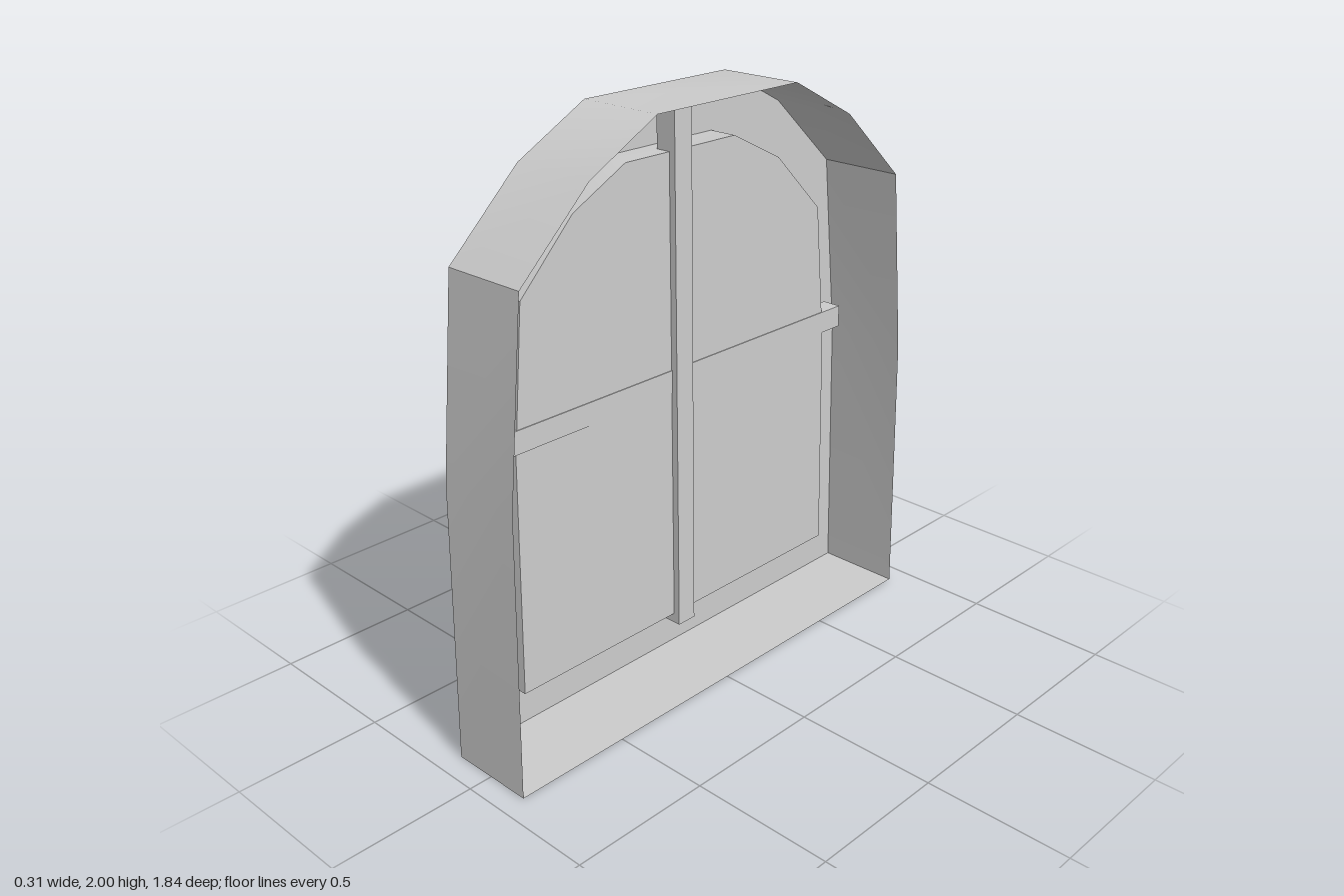
import * as THREE from 'three';
import { toCreasedNormals } from 'three/addons/utils/BufferGeometryUtils.js';

const HALF = 0.152;   // half depth of the frame
const PANE_X = -0.05; // plane of the recessed pane

// Half outlines as [z, y], mirrored across z = 0
const mirror = (half) => [...half, ...half.map(([z, y]) => [-z, y]).reverse()];
const OUTER = mirror([[0.918, 0], [0.898, 0.96], [0.833, 1.61], [0.567, 1.86], [0.303, 2]]);
const INNER = mirror([[0.728, 0.19], [0.713, 1.0], [0.667, 1.49], [0.455, 1.705], [0.24, 1.815]]);

// Closed band along an outline, from x0 to x1
function band(points, x0, x1) {
  const pos = [];
  points.forEach((a, i) => {
    const b = points[(i + 1) % points.length];
    const [a0, a1, b0, b1] = [[x0, a], [x1, a], [x0, b], [x1, b]].map(([x, p]) => [x, p[1], p[0]]);
    pos.push(...a0, ...a1, ...b1, ...a0, ...b1, ...b0);
  });
  const geo = new THREE.BufferGeometry();
  geo.setAttribute('position', new THREE.Float32BufferAttribute(pos, 3));
  return toCreasedNormals(geo, 0.6);
}

// Flat sheet at a given x, facing -x
function sheet(points, x, hole) {
  const toVec = (list) => list.map(([z, y]) => new THREE.Vector2(z, y));
  const shape = new THREE.Shape(toVec(points));
  if (hole) shape.holes.push(new THREE.Path(toVec(hole)));
  return new THREE.ShapeGeometry(shape).rotateY(-Math.PI / 2).translate(x, 0, 0);
}

// Box given by its limits
function bar([x0, x1], [y0, y1], [z0, z1]) {
  return new THREE.BoxGeometry(x1 - x0, y1 - y0, z1 - z0)
    .translate((x0 + x1) / 2, (y0 + y1) / 2, (z0 + z1) / 2);
}

export function createModel() {
  const material = new THREE.MeshStandardMaterial({ color: 0xcccccc, side: THREE.DoubleSide });
  const model = new THREE.Group();
  model.name = 'archedWindow';
  const add = (name, geometry) => {
    const mesh = new THREE.Mesh(geometry, material);
    mesh.name = name;
    model.add(mesh);
  };

  // Hollow frame, open on the +x side
  add('outerWall', band(OUTER, -HALF, HALF));
  add('frameFace', sheet(OUTER, -HALF, INNER));
  add('reveal', band([...INNER].reverse(), -HALF, PANE_X));
  add('pane', sheet(INNER, PANE_X));

  // Crossing glazing bars
  add('verticalBar', bar([-0.103, -0.026], [0.155, 1.965], [-0.02, 0.055]));
  add('horizontalBar', bar([-0.117, -0.047], [1.02, 1.097], [-0.8, 0.83]));

  // Slight lean
  model.rotation.z = 0.0055;
  model.position.x = 0.004;
  return model;
}
